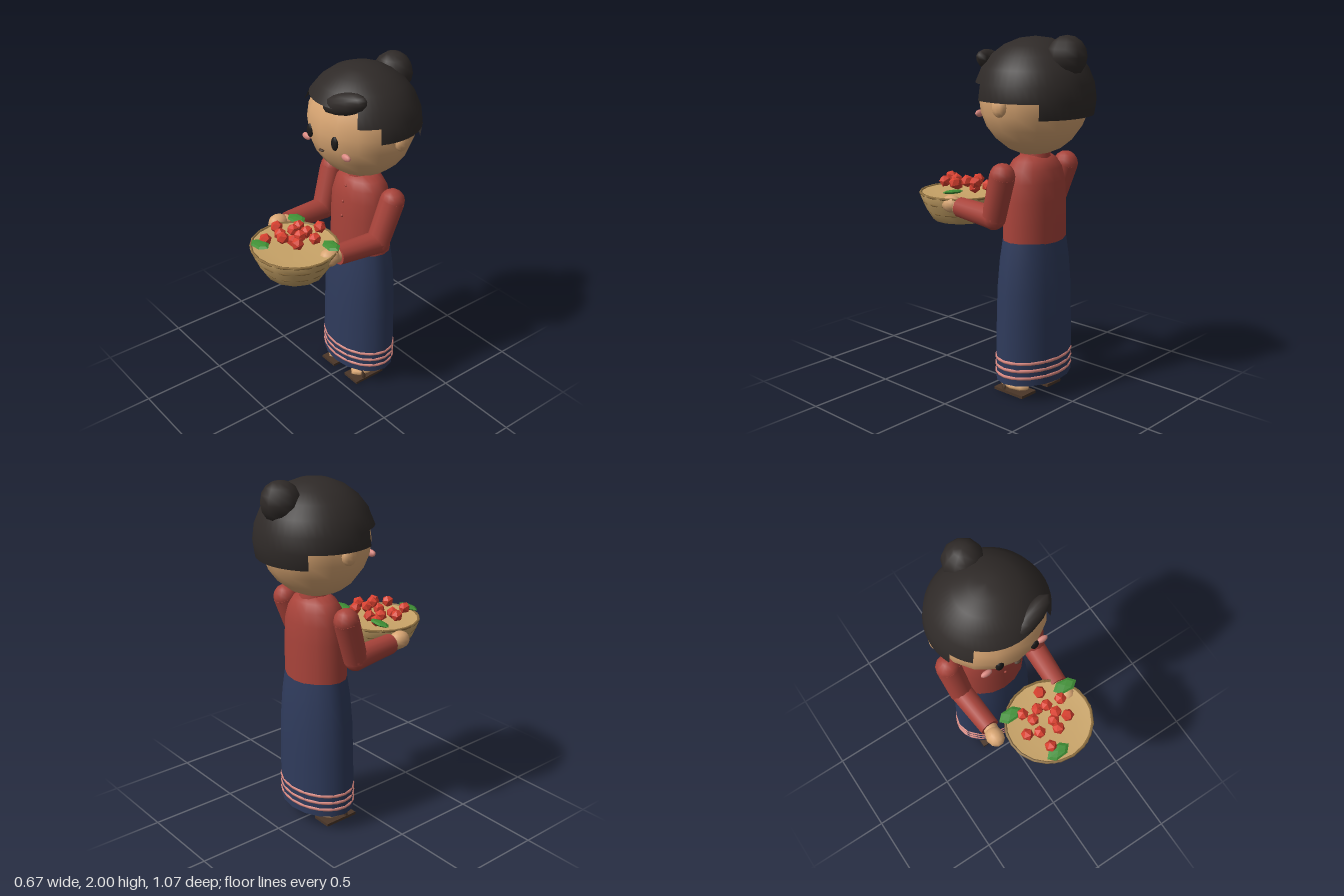
import * as THREE from 'three';
import { mergeGeometries } from 'three/addons/utils/BufferGeometryUtils.js';

const mat = (color, extra = {}) => new THREE.MeshStandardMaterial({ color, ...extra });
const SKIN = mat(0xd9a673);
const HAIR = mat(0x2f2a28, { side: THREE.DoubleSide });
const RED = mat(0xa8433a);
const NAVY = mat(0x2f3b5c, { side: THREE.DoubleSide });
const PINK = mat(0xd98880);
const DARK = mat(0x1c1a1a);
const SOLE = mat(0x4a3628);
const STRAW = mat(0xc9a468, { side: THREE.DoubleSide });
const WEAVE = mat(0x8f7040);
const BERRY = mat(0xd8402f, { flatShading: true });
const LEAF = mat(0x3f8f35, { flatShading: true });
const BODY_Z = -0.215;

export function createModel() {
  const model = new THREE.Group();
  model.name = 'womanWithBasket';

  const add = (name, geometry, material, pos = [0, 0, 0], scale = [1, 1, 1], rot = [0, 0, 0]) => {
    const mesh = new THREE.Mesh(geometry, material);
    mesh.name = name;
    mesh.position.set(...pos);
    mesh.scale.set(...scale);
    mesh.rotation.set(...rot);
    model.add(mesh);
    return mesh;
  };
  const ball = (name, material, pos, radii, rot, w = 10, h = 8) =>
    add(name, new THREE.SphereGeometry(1, w, h), material, pos, radii, rot);
  // Tapered round limb between two points
  const limb = (name, material, a, b, ra, rb) => {
    const from = new THREE.Vector3(...a), to = new THREE.Vector3(...b);
    const dir = to.clone().sub(from);
    const mesh = add(name, new THREE.CylinderGeometry(rb, ra, dir.length(), 12), material,
      from.clone().add(to).multiplyScalar(0.5).toArray());
    mesh.quaternion.setFromUnitVectors(new THREE.Vector3(0, 1, 0), dir.normalize());
    return mesh;
  };
  const lathe = (points, sides) =>
    new THREE.LatheGeometry(points.map(([r, y]) => new THREE.Vector2(r, y)), sides);

  // Head and face
  ball('head', SKIN, [0, 1.67, -0.21], [0.31, 0.312, 0.29], [0, 0, 0], 16, 12);
  ball('mouth', SOLE, [0, 1.565, 0.065], [0.02, 0.007, 0.012]);
  for (const s of [-1, 1]) {
    ball('ear', SKIN, [s * 0.305, 1.64, -0.23], [0.03, 0.052, 0.045]);
    ball('eye', DARK, [s * 0.105, 1.64, 0.06], [0.024, 0.04, 0.015]);
    ball('cheek', PINK, [s * 0.17, 1.575, 0.035], [0.034, 0.02, 0.016]);
  }

  // Hair cap: columns of a sphere cut off in steps, short in front, long behind
  const columns = [];
  for (let i = 0; i < 16; i++) {
    const mid = (i + 0.5) * 22.5;
    let fromFront = Math.abs(mid - 90);
    if (fromFront > 180) fromFront = 360 - fromFront;
    const rows = fromFront < 45 ? 4 : fromFront < 67.5 ? 5 : fromFront < 135 ? 6 : 7;
    columns.push(new THREE.SphereGeometry(1, 1, rows, i * Math.PI / 8, Math.PI / 8, 0, rows * Math.PI / 12));
  }
  add('hairCap', mergeGeometries(columns), HAIR, [0, 1.665, -0.21], [0.335, 0.325, 0.325]);
  ball('hairBun', HAIR, [0, 1.89, -0.425], [0.112, 0.112, 0.108]);
  ball('hairFringe', HAIR, [0.11, 1.847, 0], [0.15, 0.06, 0.055], [0, 0.25, 0.33]);

  // Blouse
  add('blouse', lathe([[0.205, 0.87], [0.203, 1.0], [0.2, 1.12], [0.193, 1.22], [0.172, 1.29],
    [0.14, 1.335], [0.09, 1.365], [0, 1.37]], 16), RED, [0, 0, BODY_Z], [1, 1, 0.73]);
  add('collar', new THREE.CylinderGeometry(0.082, 0.09, 0.05, 12), RED, [0, 1.35, BODY_Z]);
  for (const [y, z] of [[1.3, -0.098], [1.21, -0.075], [1.12, -0.069]])
    ball('button', RED, [0.01, y, z], [0.009, 0.009, 0.008]);

  // Long skirt with three trim bands
  add('skirt', lathe([[0.25, 0.1], [0.25, 0.25], [0.246, 0.45], [0.241, 0.62], [0.226, 0.78], [0.206, 0.9]], 16),
    NAVY, [0, 0, BODY_Z], [1, 1, 0.72]);
  for (const y of [0.145, 0.187, 0.23])
    add('skirtTrim', new THREE.TorusGeometry(0.246, 0.01, 6, 24), PINK, [0, y, BODY_Z], [1, 0.72, 1], [Math.PI / 2, 0, 0]);

  // Arms, legs and sandals
  for (const s of [-1, 1]) {
    const shoulder = [s * 0.264, 1.275, -0.215], elbow = [s * 0.245, 1.035, -0.135];
    const wrist = [s * 0.228, 1.048, 0.135];
    ball('shoulder', RED, shoulder, [0.07, 0.07, 0.07], [0, 0, 0], 12);
    limb('upperSleeve', RED, shoulder, elbow, 0.07, 0.066);
    ball('elbow', RED, elbow, [0.067, 0.067, 0.067], [0, 0, 0], 12);
    limb('lowerSleeve', RED, elbow, wrist, 0.065, 0.057);
    limb('wrist', SKIN, wrist, [s * 0.23, 1.05, 0.17], 0.042, 0.04);
    ball('hand', SKIN, [s * 0.235, 1.058, 0.197], [0.052, 0.05, 0.062]);

    add('leg', new THREE.CylinderGeometry(0.056, 0.05, 0.34, 10), SKIN, [s * 0.11, 0.25, BODY_Z]);
    ball('foot', SKIN, [s * 0.11, 0.043, -0.172], [0.055, 0.026, 0.1], [0, 0, 0], 8, 6);
    add('sandalSole', new THREE.BoxGeometry(0.118, 0.016, 0.21), SOLE, [s * 0.11, 0.008, -0.17]);
    add('sandalStrap', new THREE.TorusGeometry(0.05, 0.008, 5, 12, Math.PI), SOLE,
      [s * 0.11, 0.014, -0.13], [1, 1.02, 1.6]);
  }

  // Woven basket, filled nearly to its rim
  const basket = [0.055, 0, 0.295];
  add('basket', lathe([[0, 0.93], [0.17, 0.93], [0.205, 0.985], [0.23, 1.04], [0.25, 1.092],
    [0.235, 1.088], [0.15, 1.08], [0, 1.075]], 14), STRAW, basket, [1, 1, 0.97]);
  for (const [r, y] of [[0.242, 1.088], [0.222, 1.04], [0.196, 0.985]])
    add('basketBand', new THREE.TorusGeometry(r, 0.008, 5, 20), WEAVE,
      [basket[0], y, basket[2]], [1, 0.97, 1], [Math.PI / 2, 0, 0]);

  // Fruit: x, y, z
  const fruit = [
    [0.09, 1.165, 0.15], [-0.05, 1.12, 0.19], [-0.02, 1.13, 0.25], [0.035, 1.12, 0.21], [0.08, 1.16, 0.23],
    [0.165, 1.16, 0.24], [0.1, 1.165, 0.29], [-0.095, 1.135, 0.305], [-0.03, 1.13, 0.33], [0.07, 1.13, 0.315],
    [0.145, 1.155, 0.34], [0.06, 1.165, 0.375], [-0.025, 1.135, 0.43]];
  fruit.forEach((p, i) =>
    add('fruit', new THREE.IcosahedronGeometry(0.036), BERRY, p, [1, 1, 1], [i * 1.3, i * 0.9, i * 0.5]));

  // Leaves: x, z, turn
  for (const [x, z, turn] of [[-0.11, 0.16, 0], [0.235, 0.185, -0.1], [-0.01, 0.475, 0.05]])
    ball('leaf', LEAF, [x, 1.128, z], [0.072, 0.012, 0.04], [0.15, turn, 0.08], 6, 4);

  return model;
}
